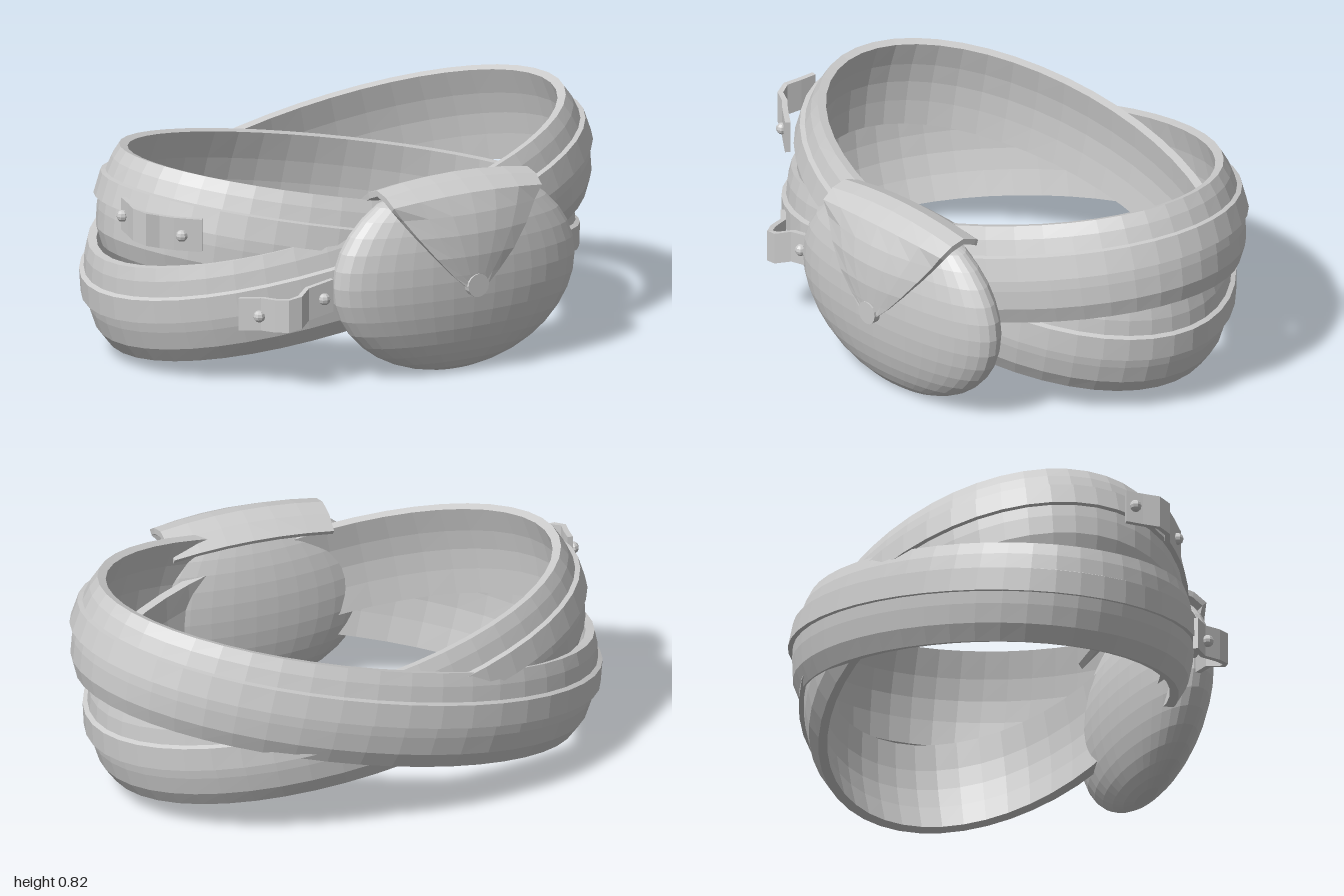
import * as THREE from 'three';

const grey = new THREE.MeshStandardMaterial({ color: 0xcccccc, flatShading: true });

function addMesh(parent, name, geometry) {
  const mesh = new THREE.Mesh(geometry, grey);
  mesh.name = name;
  parent.add(mesh);
  return mesh;
}

// Skins a list of closed cross-sections; joins the ends or caps them.
function loft(sections, closed) {
  const n = sections[0].length, m = sections.length, index = [];
  for (let i = 0; i < (closed ? m : m - 1); i++) {
    for (let j = 0; j < n; j++) {
      const a = i * n + j, b = i * n + (j + 1) % n;
      const c = ((i + 1) % m) * n + j, d = ((i + 1) % m) * n + (j + 1) % n;
      index.push(a, b, c, b, d, c);
    }
  }
  if (!closed) {
    const e = (m - 1) * n;
    for (let j = 0; j < n / 2 - 1; j++) {
      const k = n - 1 - j;
      index.push(j, k, j + 1, j + 1, k, k - 1);
      index.push(e + j, e + j + 1, e + k, e + j + 1, e + k - 1, e + k);
    }
  }
  const g = new THREE.BufferGeometry();
  g.setAttribute('position', new THREE.Float32BufferAttribute(sections.flat(2), 3));
  g.setIndex(index);
  g.computeVertexNormals();
  return g;
}

// Belt section: bulged outside with a raised strap, then the inside face.
const beltProfile = [
  [-0.055, -0.18], [-0.025, -0.12], [-0.016, -0.05], [-0.015, -0.005],
  [0.003, -0.005], [-0.008, 0.08], [-0.026, 0.085], [-0.04, 0.14], [-0.06, 0.185],
  [-0.092, 0.18], [-0.075, 0.08], [-0.07, 0], [-0.075, -0.08], [-0.088, -0.175]
];

function belt(parent, name, a, b, y, tilt) {
  const sections = [];
  for (let i = 0; i < 48; i++) {
    const t = i / 48 * Math.PI * 2;
    sections.push(beltProfile.map(([r, v]) => [(a + r) * Math.cos(t), v, (b + r) * Math.sin(t)]));
  }
  const mesh = addMesh(parent, name, loft(sections, true));
  mesh.position.set(0, y, -0.07);
  mesh.rotation.z = tilt;
}

// Bent strap keeper with a rivet at each end; path is [x, y, z] outer points.
function keeper(parent, name, path, rivets) {
  const group = new THREE.Group();
  group.name = name;
  const h = 0.06, thick = 0.02;
  const sections = path.map(([x, y, z], i) => {
    const p = path[Math.max(i - 1, 0)], q = path[Math.min(i + 1, path.length - 1)];
    const len = Math.hypot(q[0] - p[0], q[2] - p[2]);
    const nx = -(q[2] - p[2]) / len * thick, nz = (q[0] - p[0]) / len * thick;
    return [[x, y + h, z], [x, y - h, z], [x - nx, y - h, z - nz], [x - nx, y + h, z - nz]];
  });
  addMesh(group, 'keeperStrap', loft(sections, false));
  for (const [x, y, z] of rivets) {
    addMesh(group, 'rivet', new THREE.SphereGeometry(0.022, 8, 6)).position.set(x, y, z);
  }
  parent.add(group);
}

export function createModel() {
  const model = new THREE.Group();
  model.name = 'crossedBeltsWithPouch';

  // Two crossing belts
  belt(model, 'outerBelt', 1.015, 0.675, 0.435, 0.225);
  belt(model, 'innerBelt', 0.955, 0.64, 0.42, -0.19);

  // Pouch body, flattened at the bottom and the mouth
  const body = new THREE.SphereGeometry(1, 36, 18);
  const pos = body.attributes.position;
  for (let i = 0; i < pos.count; i++) {
    const y = 0.365 + 0.365 * pos.getY(i);
    pos.setXYZ(i, 0.1 + 0.5 * pos.getX(i), Math.min(Math.max(y, 0.005), 0.665),
      0.57 + 0.15 * pos.getZ(i));
  }
  body.computeVertexNormals();
  addMesh(model, 'pouchBody', body);

  // Flap rows from back to tip: z, y, half width, sideways droop of y and of z
  const rows = [
    [0.44, 0.66, 0.31, 0.02, 0], [0.5, 0.705, 0.315, 0.025, 0], [0.56, 0.727, 0.315, 0.025, 0],
    [0.62, 0.715, 0.315, 0.025, 0], [0.69, 0.68, 0.31, 0.02, 0.02], [0.722, 0.61, 0.275, 0, 0.045],
    [0.74, 0.54, 0.225, 0, 0.035], [0.745, 0.46, 0.16, 0, 0.02], [0.74, 0.39, 0.095, 0, 0.01],
    [0.735, 0.345, 0.045, 0, 0], [0.733, 0.325, 0.015, 0, 0]
  ];
  const across = [1, 0.67, 0.33, 0, -0.33, -0.67, -1];
  const flap = rows.map(([z, y, w, dy, dz], i) => {
    const p = rows[Math.max(i - 1, 0)], q = rows[Math.min(i + 1, rows.length - 1)];
    const len = Math.hypot(q[0] - p[0], q[1] - p[1]);
    const oy = (q[0] - p[0]) / len * 0.022, oz = -(q[1] - p[1]) / len * 0.022;
    const outer = across.map(s => [0.1 + w * s, y - dy * s * s, z - dz * s * s]);
    const inner = outer.map(([px, py, pz]) => [px, py - oy, pz - oz]).reverse();
    return [...outer, ...inner];
  });
  addMesh(model, 'pouchFlap', loft(flap, false));

  // Round clasp at the flap tip
  const button = addMesh(model, 'claspButton', new THREE.CylinderGeometry(0.043, 0.043, 0.035, 16));
  button.rotation.x = Math.PI / 2;
  button.position.set(0.1, 0.347, 0.727);

  // Strap keepers on the model's right side
  keeper(model, 'upperKeeper', [
    [-0.965, 0.6, 0.03], [-0.975, 0.595, 0.09], [-0.988, 0.59, 0.15], [-0.965, 0.58, 0.2],
    [-0.92, 0.57, 0.22], [-0.88, 0.565, 0.255], [-0.8, 0.56, 0.315]
  ], [[-0.978, 0.6, 0.06], [-0.86, 0.56, 0.275]]);
  keeper(model, 'lowerKeeper', [
    [-0.71, 0.28, 0.42], [-0.65, 0.285, 0.475], [-0.63, 0.29, 0.54], [-0.6, 0.295, 0.585],
    [-0.55, 0.305, 0.595], [-0.5, 0.32, 0.56], [-0.4, 0.34, 0.565]
  ], [[-0.66, 0.28, 0.48], [-0.44, 0.333, 0.568]]);

  return model;
}
